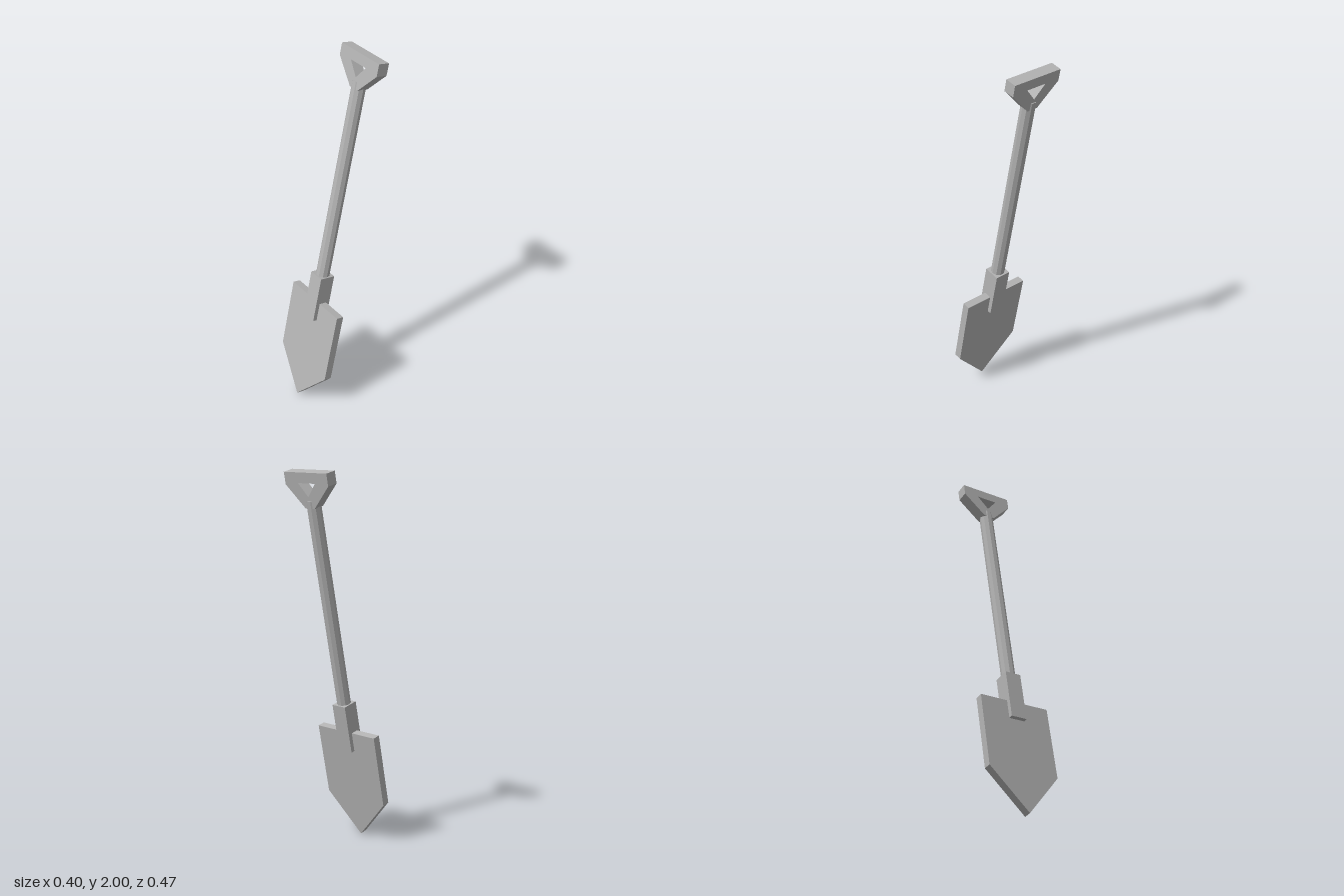
import * as THREE from 'three';

export function createModel() {
  const model = new THREE.Group();
  model.name = 'shovel';
  const grey = new THREE.MeshStandardMaterial({ color: 0xb3b3b3, flatShading: true });
  grey.name = 'grey';

  // Everything is built upright on this pivot, which leans the top backwards
  const lean = new THREE.Group();
  lean.name = 'leaningShovel';
  lean.rotation.x = -Math.PI / 15;
  lean.position.z = 0.194;
  model.add(lean);

  const axisZ = 0.0215; // shared centre line of all parts

  const add = (name, geometry, y = 0) => {
    const mesh = new THREE.Mesh(geometry, grey);
    mesh.name = name;
    mesh.position.set(0, y, axisZ);
    lean.add(mesh);
    return mesh;
  };

  const toPoints = (list) => list.map(([x, y]) => new THREE.Vector2(x, y));

  // Flat plate cut from an outline, centred on the axis
  const plate = (outline, depth, hole) => {
    const shape = new THREE.Shape(toPoints(outline));
    if (hole) shape.holes.push(new THREE.Path(toPoints(hole)));
    return new THREE.ExtrudeGeometry(shape, { depth, bevelEnabled: false }).translate(0, 0, -depth / 2);
  };

  // Pointed blade
  add('blade', plate([[0, 0], [0.198, 0.223], [0.198, 0.621], [-0.198, 0.621], [-0.198, 0.223]], 0.042));

  // Square socket joining blade and shaft
  add('socket', new THREE.BoxGeometry(0.088, 0.264, 0.088), 0.649);

  // Ten-sided shaft with a flat side to the front
  add('shaft', new THREE.CylinderGeometry(0.037, 0.037, 1.15, 10, 1, false, Math.PI / 2), 1.315);

  // Grip with a triangular finger hole
  add('grip', plate(
    [[-0.03, 1.85], [0.03, 1.85], [0.145, 1.969], [0.145, 2.033], [-0.145, 2.033], [-0.145, 1.969]],
    0.062,
    [[0, 1.909], [-0.058, 1.979], [0.058, 1.979]]
  ));

  return model;
}
